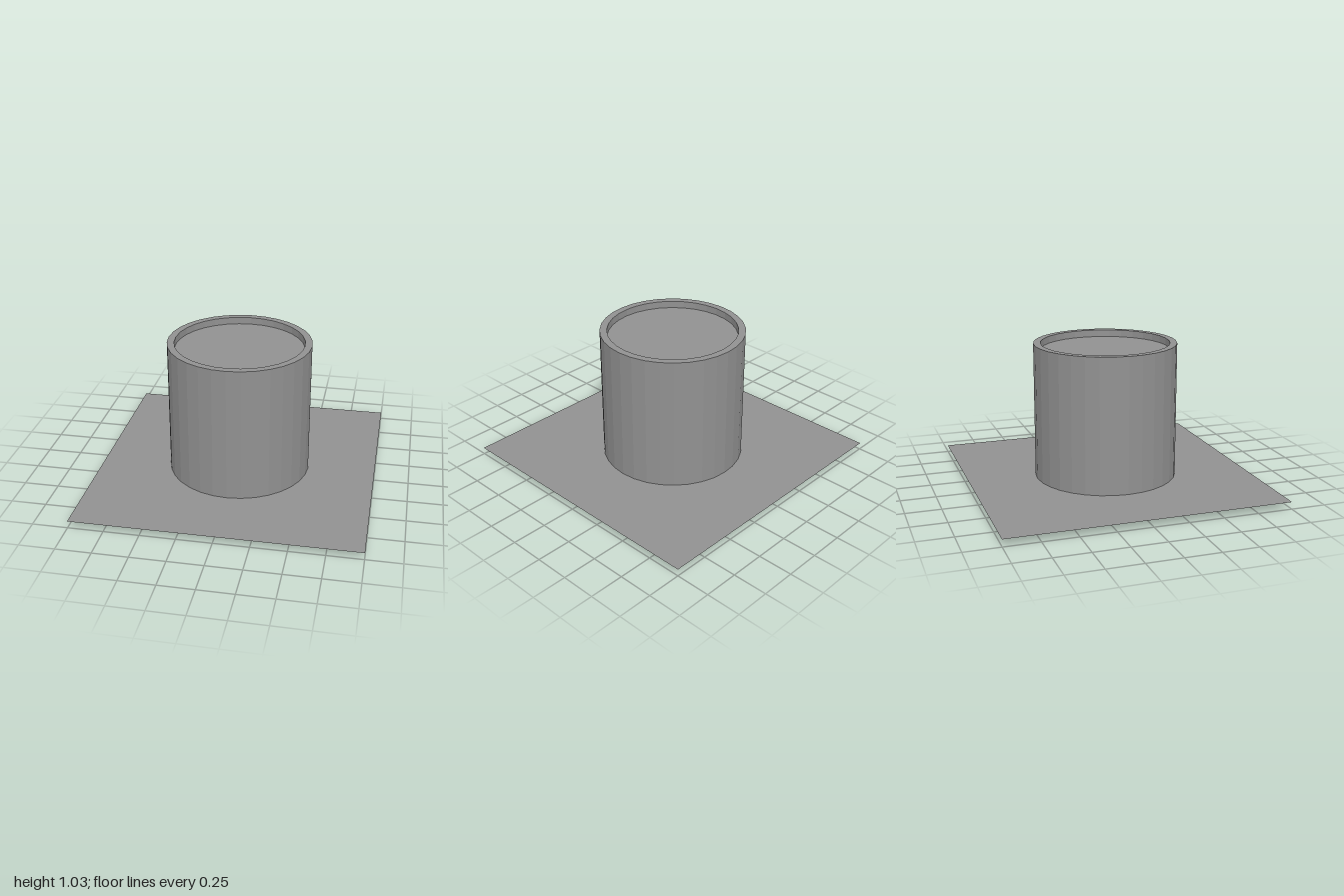
import * as THREE from 'three';

const SIDES = 32;
const RADIUS = 0.513, INNER_RADIUS = 0.462;
const HEIGHT = 1.026, RECESS = 0.051, SHEET_Y = 0.051;
const GREY = 0x919191;

export function createModel() {
  const group = new THREE.Group();
  group.name = 'recessedDrumOnSheet';

  // Solid drum with a raised rim around a shallow recess on top
  const profile = [
    [0, 0], [RADIUS, 0], [RADIUS, HEIGHT],
    [INNER_RADIUS, HEIGHT], [INNER_RADIUS, HEIGHT - RECESS], [0, HEIGHT - RECESS],
  ].map(([x, y]) => new THREE.Vector2(x, y));
  const drum = new THREE.Mesh(
    new THREE.LatheGeometry(profile, SIDES),
    new THREE.MeshStandardMaterial({ color: GREY, flatShading: true }),
  );
  drum.name = 'drum';
  group.add(drum);

  // Thin square sheet that the drum pokes through slightly
  const sheet = new THREE.Mesh(
    new THREE.PlaneGeometry(2, 2).rotateX(-Math.PI / 2),
    new THREE.MeshStandardMaterial({ color: GREY, side: THREE.DoubleSide }),
  );
  sheet.name = 'groundSheet';
  sheet.position.y = SHEET_Y;
  group.add(sheet);

  return group;
}
